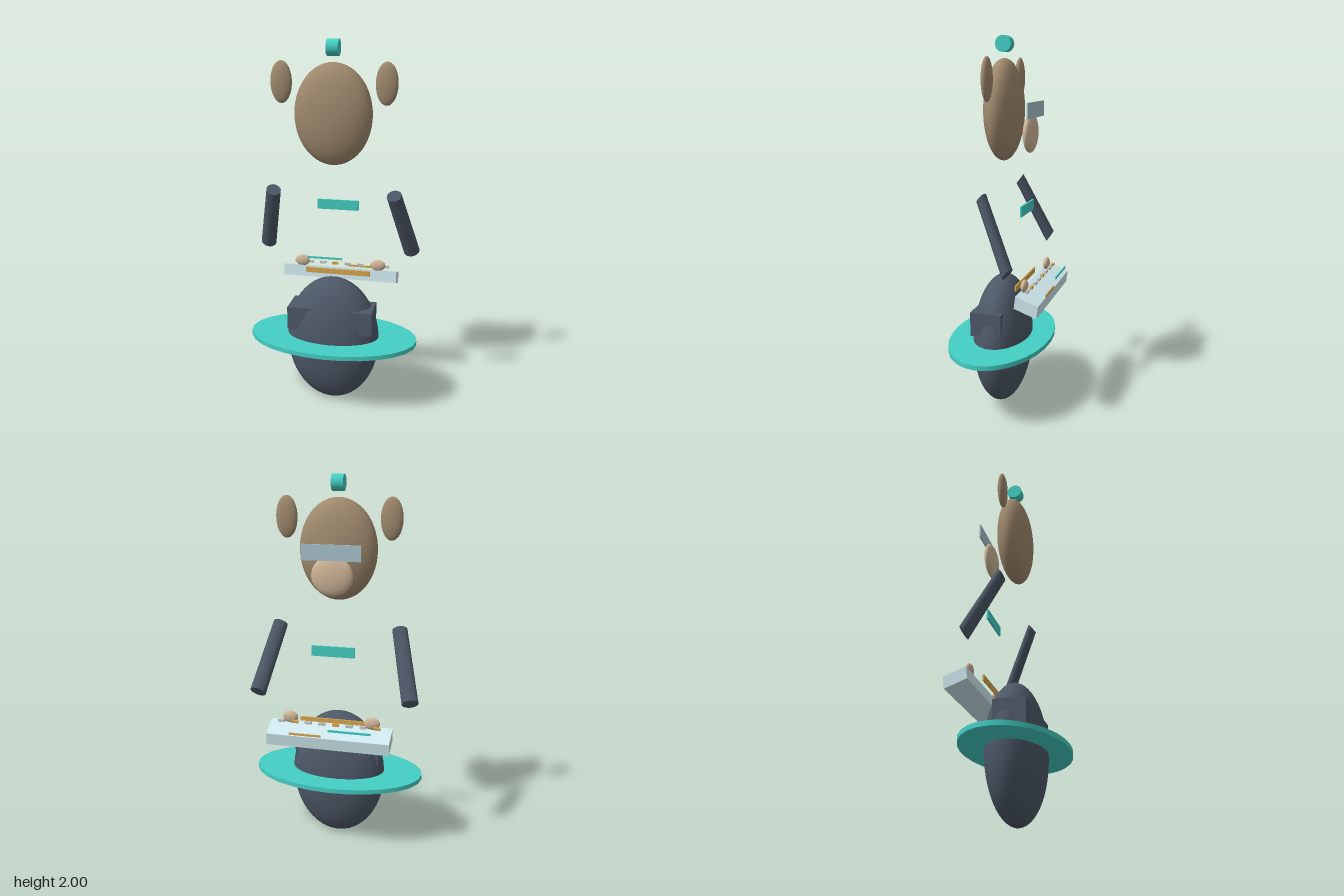
import * as THREE from 'three';

const mat = (color) => new THREE.MeshStandardMaterial({ color });
const fur = mat(0xa08a6e), teal = mat(0x44cfc4), slate = mat(0x4d5867), cream = mat(0xd0b698);
const gold = mat(0xd8a850), pale = mat(0xcfe8ee), lens = mat(0xa9c3cb), keyGrey = mat(0xc6c8c2);
const DEPTH = 0.59; // the figure is flattened front to back

export function createModel() {
  const root = new THREE.Group();
  root.name = 'floatingFigure';

  const add = (name, geometry, material, [x, y, z], parent = root) => {
    const mesh = new THREE.Mesh(geometry, material);
    mesh.name = name;
    mesh.position.set(x, y, z);
    parent.add(mesh);
    return mesh;
  };
  const ellipsoid = (name, material, position, radii) =>
    add(name, new THREE.SphereGeometry(1, 40, 28), material, position).scale.set(...radii);
  const box = (name, material, position, size) =>
    add(name, new THREE.BoxGeometry(...size), material, position);

  // Body, waist disc and the block that shows at the body's sides
  ellipsoid('body', slate, [0, 0.37, 0.006], [0.26, 0.365, 0.153]);
  add('waistDisc', new THREE.CylinderGeometry(0.47, 0.47, 0.025, 28), teal, [0, 0.383, 0.006])
    .scale.z = DEPTH - 0.01;
  box('torsoBlock', slate, [0, 0.515, 0.03], [0.47, 0.13, 0.17]);

  // Head, muzzle, visor and top knob
  ellipsoid('head', fur, [0, 1.625, 0], [0.205, 0.262, 0.093]);
  ellipsoid('muzzle', cream, [0, 1.51, -0.142], [0.108, 0.102, 0.03]);
  box('visor', lens, [0, 1.63, -0.167], [0.305, 0.08, 0.008]);
  add('topKnob', new THREE.CylinderGeometry(0.042, 0.042, 0.062, 28), teal, [0, 1.958, 0])
    .rotation.z = Math.PI / 2;

  // Chest badge
  box('chestBadge', teal, [0, 1.113, -0.125], [0.23, 0.055, 0.01]);

  // Flattened group for the tilted parts
  const flat = new THREE.Group();
  flat.name = 'armsAndKeyboard';
  flat.scale.z = DEPTH;
  root.add(flat);

  // Ears, arms and hands, mirrored
  for (const [side, s] of [['left', 1], ['right', -1]]) {
    ellipsoid(side + 'Ear', fur, [s * 0.274, 1.785, 0], [0.057, 0.108, 0.024]);
    ellipsoid(side + 'Hand', cream, [s * 0.221, 0.753, -0.179], [0.042, 0.033, 0.017]);
    const top = new THREE.Vector3(s * 0.326, 1.215, 0.013 / DEPTH);
    const end = new THREE.Vector3(s * 0.412, 0.867, -0.148 / DEPTH);
    const axis = top.clone().sub(end);
    const arm = add(side + 'Arm', new THREE.CylinderGeometry(0.04, 0.044, axis.length(), 24), slate,
      top.clone().add(end).multiplyScalar(0.5).toArray(), flat);
    arm.quaternion.setFromUnitVectors(new THREE.Vector3(0, 1, 0), axis.normalize());
  }

  // Tilted keyboard with its front strip, keys and rear strips
  add('keyboard', new THREE.BoxGeometry(0.656, 0.066, 0.204), pale, [0, 0.675, -0.217 / DEPTH], flat)
    .rotation.x = -0.21;
  box('frontStrip', gold, [0, 0.72, -0.119], [0.368, 0.03, 0.008]);
  for (let i = 0; i < 8; i++) {
    box('key' + (i + 1), i % 3 ? keyGrey : gold, [-0.253 + i * 0.0736, 0.738, -0.207], [0.036, 0.014, 0.013]);
  }
  box('rearStripTeal', teal, [-0.121, 0.735, -0.284], [0.222, 0.011, 0.006]);
  box('rearStripGold', gold, [0.114, 0.7, -0.284], [0.17, 0.011, 0.006]);

  return root;
}
